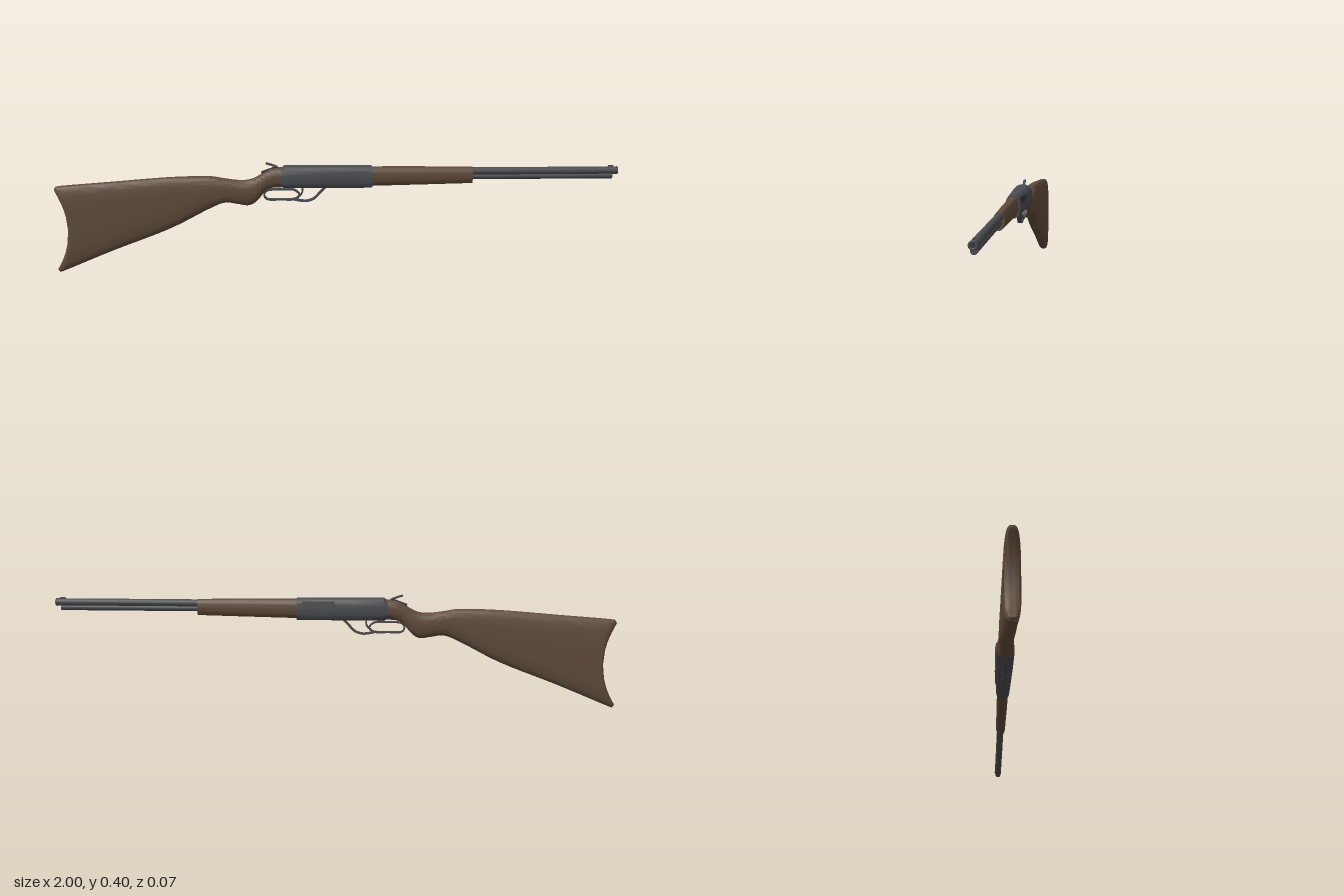
import * as THREE from 'three';
import { toCreasedNormals } from 'three/addons/utils/BufferGeometryUtils.js';

const wood = new THREE.MeshStandardMaterial({ color: 0x5f4a3a });
wood.name = 'walnut wood';
const steel = new THREE.MeshStandardMaterial({ color: 0x4b4c50 });
steel.name = 'blued steel';
const dark = new THREE.MeshStandardMaterial({ color: 0x36373a });
dark.name = 'dark recess';

// Loft of superellipse rings along +x. Each section is [x, top, bottom, halfWidth, power].
// A half width of 0 closes an end; warp(x, v) shifts a ring point along x, v = -1..1 in height.
function loft(sections, sub = 1, warp = () => 0, crease = 0.7) {
  const a = new THREE.CatmullRomCurve3(sections.map(s => new THREE.Vector3(s[0], s[1], s[2])), false, 'catmullrom', 0.5);
  const b = new THREE.CatmullRomCurve3(sections.map(s => new THREE.Vector3(s[3], s[4], 0)), false, 'catmullrom', 0.5);
  const rings = (sections.length - 1) * sub, n = 36, pos = [], idx = [];
  const pow = (v, p) => Math.sign(v) * Math.pow(Math.abs(v) < 1e-9 ? 0 : Math.abs(v), p);
  for (let i = 0; i <= rings; i++) {
    const s = a.getPoint(i / rings), w = b.getPoint(i / rings);
    for (let j = 0; j < n; j++) {
      const t = j / n * Math.PI * 2, v = pow(Math.sin(t), w.y);
      pos.push(s.x + warp(s.x, v), (s.y + s.z) / 2 + (s.y - s.z) / 2 * v, Math.max(0, w.x) * pow(Math.cos(t), w.y));
      if (i < rings) {
        const p = i * n + j, q = i * n + (j + 1) % n;
        idx.push(p, p + n, q, q, p + n, q + n);
      }
    }
  }
  const g = new THREE.BufferGeometry();
  g.setAttribute('position', new THREE.Float32BufferAttribute(pos, 3));
  g.setIndex(idx);
  return toCreasedNormals(g, crease);
}

// Flat strap following a curve in the xy plane
function strap(points, thick, width, closed = false) {
  const curve = new THREE.CatmullRomCurve3(points.map(p => new THREE.Vector3(p[0], p[1], 0)), closed, 'centripetal');
  const n = points.length * 6, outer = [], inner = [];
  for (let i = 0; i <= n; i++) {
    const p = curve.getPoint(i / n), t = curve.getTangent(i / n);
    outer.push(new THREE.Vector2(p.x - t.y * thick / 2, p.y + t.x * thick / 2));
    inner.push(new THREE.Vector2(p.x + t.y * thick / 2, p.y - t.x * thick / 2));
  }
  const shape = new THREE.Shape([...outer, ...inner.reverse()]);
  const g = new THREE.ExtrudeGeometry(shape, { depth: width, bevelEnabled: false });
  return toCreasedNormals(g.translate(0, 0, -width / 2), 0.6);
}

// Cylinder along x
function rod(x0, x1, y, r) {
  return new THREE.CylinderGeometry(r, r, x1 - x0, 24).rotateZ(-Math.PI / 2).translate((x0 + x1) / 2, y, 0);
}

export function createModel() {
  const model = new THREE.Group();
  const add = (name, geometry, material) => {
    const m = new THREE.Mesh(geometry, material);
    m.name = name;
    model.add(m);
    return m;
  };

  // Stock with a hollowed butt and a curved wrist
  const hollow = (x, v) => 0.045 * (1 - v * v) * THREE.MathUtils.clamp((-0.75 - x) / 0.25, 0, 1);
  add('stock', loft([
    [-1.0, 0.298, 0.012, 0, 0.6],
    [-1.0, 0.302, 0.008, 0.018, 0.6],
    [-0.994, 0.308, 0.002, 0.024, 0.6],
    [-0.975, 0.314, 0.006, 0.026, 0.6],
    [-0.8, 0.327, 0.078, 0.026, 0.62],
    [-0.6, 0.342, 0.155, 0.026, 0.65],
    [-0.46, 0.345, 0.226, 0.026, 0.7],
    [-0.4, 0.337, 0.25, 0.026, 0.75],
    [-0.355, 0.331, 0.245, 0.026, 0.8],
    [-0.315, 0.332, 0.24, 0.026, 0.8],
    [-0.285, 0.343, 0.256, 0.026, 0.8],
    [-0.255, 0.362, 0.291, 0.026, 0.8],
    [-0.23, 0.373, 0.303, 0.028, 0.8],
    [-0.19, 0.376, 0.305, 0.03, 0.8],
  ], 5, hollow), wood);

  // Receiver, widest at the rear
  add('receiver', loft([
    [-0.202, 0.37, 0.308, 0, 0.7],
    [-0.202, 0.37, 0.308, 0.03, 0.7],
    [-0.188, 0.382, 0.302, 0.034, 0.7],
    [-0.08, 0.382, 0.301, 0.032, 0.7],
    [0.04, 0.381, 0.301, 0.028, 0.7],
    [0.123, 0.38, 0.301, 0.025, 0.7],
    [0.123, 0.38, 0.301, 0, 0.7],
  ], 1, undefined, 0.5), steel);

  // Loading port on the far side of the receiver
  const port = add('ejectionPort', new THREE.BoxGeometry(0.115, 0.022, 0.006), dark);
  port.position.set(0.045, 0.359, -0.025);
  port.rotation.set(0.2, -0.04, 0);

  // Fore-end
  add('foreEnd', loft([
    [0.11, 0.377, 0.307, 0, 0.85],
    [0.11, 0.377, 0.307, 0.021, 0.85],
    [0.3, 0.376, 0.311, 0.02, 0.85],
    [0.48, 0.373, 0.315, 0.018, 0.85],
    [0.48, 0.373, 0.315, 0, 0.85],
  ]), wood);

  // Barrel, magazine tube and their fittings
  add('barrel', rod(0.47, 0.996, 0.358, 0.0135), steel);
  add('muzzleRing', new THREE.TorusGeometry(0.0105, 0.004, 8, 24).rotateY(Math.PI / 2).translate(0.996, 0.358, 0), steel);
  add('bore', rod(0.99, 0.9975, 0.358, 0.007), dark);
  add('magazineTube', rod(0.47, 0.98, 0.339, 0.0105), steel);
  add('frontSight', new THREE.BoxGeometry(0.02, 0.008, 0.005).translate(0.975, 0.372, 0), steel);

  // Lever loop and trigger guard
  add('leverLoop', strap([
    [-0.15, 0.293], [-0.2, 0.296], [-0.25, 0.292], [-0.26, 0.276], [-0.25, 0.262], [-0.2, 0.26], [-0.152, 0.261],
    [-0.135, 0.275],
  ], 0.006, 0.016, true), steel);
  add('triggerGuard', strap([
    [-0.16, 0.261], [-0.135, 0.256], [-0.11, 0.254], [-0.085, 0.262], [-0.062, 0.284], [-0.04, 0.306],
  ], 0.007, 0.016), steel);
  add('trigger', strap([[-0.125, 0.308], [-0.124, 0.29], [-0.13, 0.277], [-0.142, 0.268]], 0.006, 0.008), steel);

  // Hammer with its spur
  add('hammer', strap([[-0.2, 0.355], [-0.213, 0.376], [-0.228, 0.383], [-0.253, 0.391]], 0.007, 0.008), steel);
  add('hammerSlot', new THREE.BoxGeometry(0.06, 0.006, 0.014).rotateZ(0.35).translate(-0.24, 0.368, 0), dark);

  return model;
}
